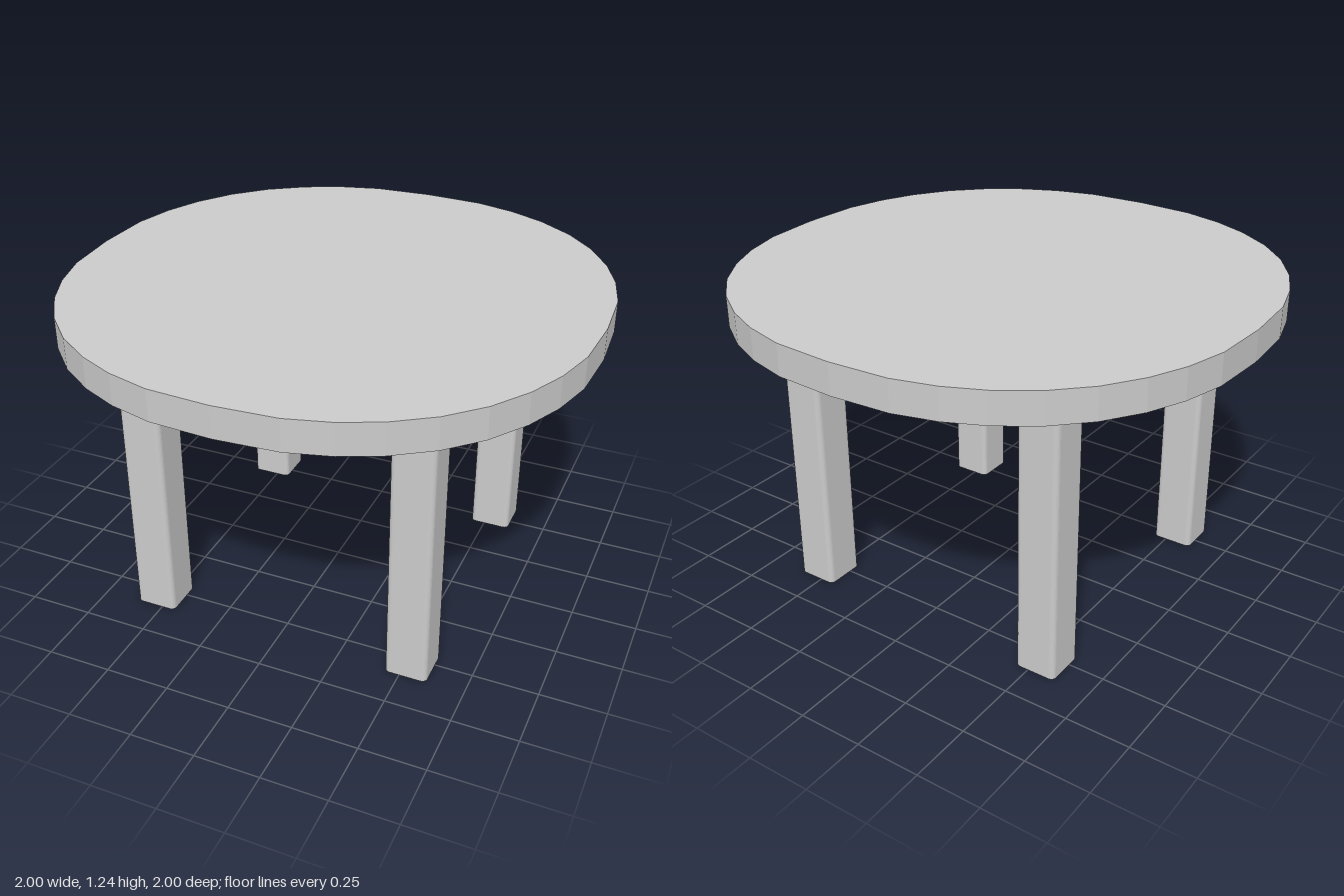
import * as THREE from 'three';

// Upright prism from a plan outline, spanning y0..y1
function prism(name, shape, y0, y1, material) {
  const geo = new THREE.ExtrudeGeometry(shape, { depth: y1 - y0, bevelEnabled: false, curveSegments: 3 });
  geo.rotateX(-Math.PI / 2);
  const mesh = new THREE.Mesh(geo, material);
  mesh.name = name;
  mesh.position.y = y0;
  return mesh;
}

// Square outline with softened corners
function softSquare(size, r) {
  const h = size / 2, s = new THREE.Shape();
  for (let i = 0; i < 4; i++) {
    const a = i * Math.PI / 2, q = Math.PI / 4;
    const k = (h - r) * Math.SQRT2;
    s.absarc(Math.cos(a + q) * k, Math.sin(a + q) * k, r, a, a + Math.PI / 2, false);
  }
  s.closePath();
  return s;
}

export function createModel() {
  const group = new THREE.Group();
  group.name = 'roundTable';
  const material = new THREE.MeshStandardMaterial({ color: 0xcccccc, flatShading: true });

  // Table top: slightly squared circle, one quarter turned four times
  const quarter = [[1, 0], [0.986, 0.232], [0.943, 0.393], [0.88, 0.533], [0.788, 0.67],
    [0.67, 0.788], [0.533, 0.88], [0.393, 0.943], [0.232, 0.986]];
  const outline = [];
  for (let i = 0; i < 4; i++) {
    for (const [x, y] of quarter) {
      outline.push(new THREE.Vector2(x, y).rotateAround(new THREE.Vector2(), i * Math.PI / 2));
    }
  }
  group.add(prism('tableTop', new THREE.Shape(outline), 1.12, 1.24, material));

  // Square base: solid apron slab with four legs flush to its corners
  const base = new THREE.Group();
  base.name = 'base';
  base.position.set(-0.002, 0, -0.003);
  base.add(prism('apron', softSquare(1.212, 0.02), 1.04, 1.12, material));
  for (const [front, z] of [['front', 1], ['back', -1]]) {
    for (const [side, x] of [['Left', 1], ['Right', -1]]) {
      const leg = prism(front + side + 'Leg', softSquare(0.162, 0.02), 0, 1.04, material);
      leg.position.x = x * 0.525;
      leg.position.z = z * 0.525;
      base.add(leg);
    }
  }
  group.add(base);
  return group;
}
